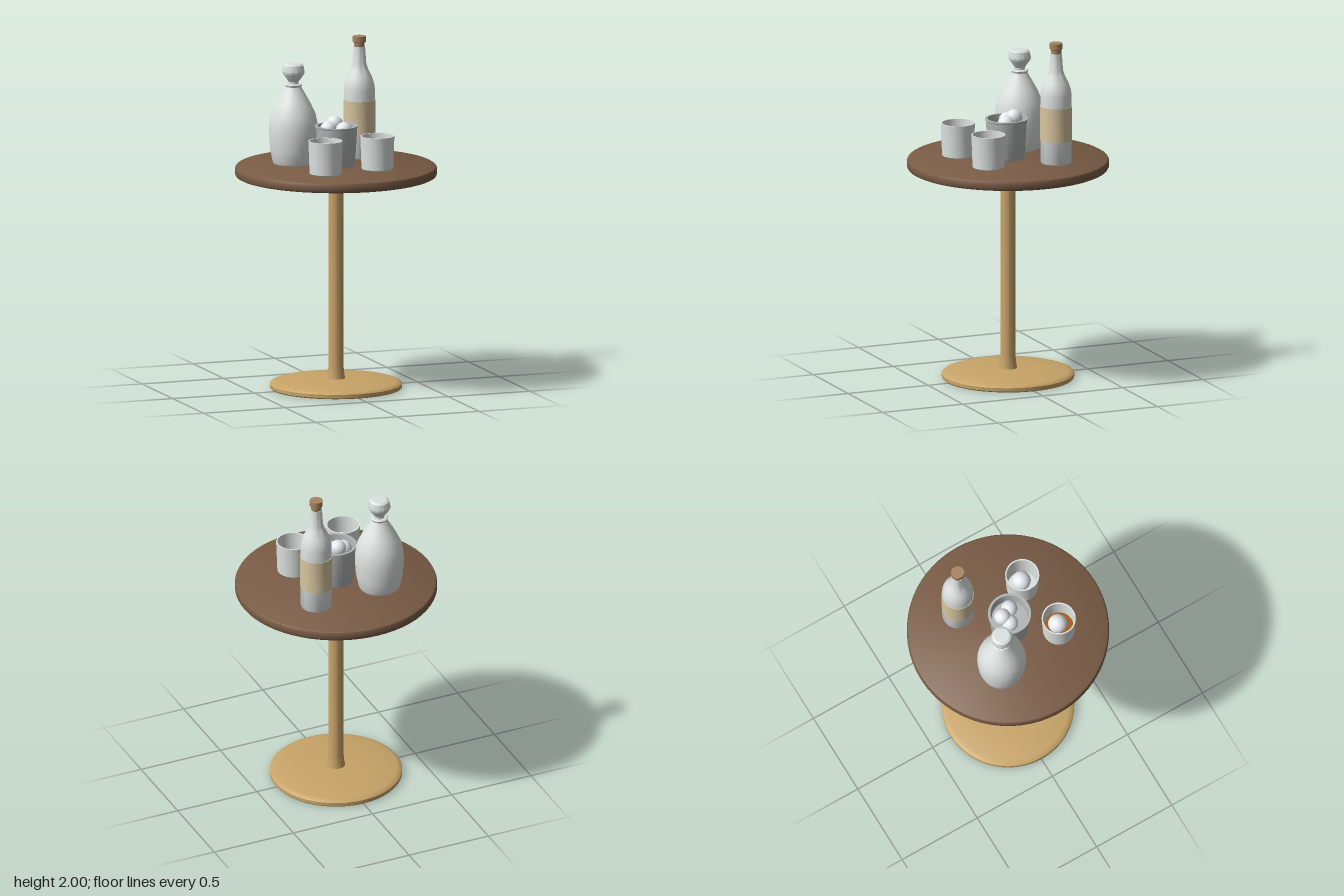
import * as THREE from 'three';
import { toCreasedNormals } from 'three/addons/utils/BufferGeometryUtils.js';

const TOP = 1.295; // height of the table surface

const mat = (color) => new THREE.MeshStandardMaterial({ color });
const wood = mat(0x7a5c45);
const brass = mat(0xc8a468);
const glass = mat(0xdde3e1);
const metal = mat(0xb2b7b6);
const ice = mat(0xe6eaee);
const paper = mat(0xd8c6a0);
const cork = mat(0xa88460);
const liquor = mat(0xa05a18);

export function createModel() {
  const model = new THREE.Group();

  const group = (name, x, y, z) => {
    const g = new THREE.Group();
    g.name = name;
    g.position.set(x, y, z);
    model.add(g);
    return g;
  };

  // Turned part from [radius, height] pairs, outside listed bottom to top
  const turned = (parent, name, profile, material, segments = 32) => {
    const points = profile.map(([r, y]) => new THREE.Vector2(r, y));
    const geometry = toCreasedNormals(new THREE.LatheGeometry(points, segments), 0.6);
    const mesh = new THREE.Mesh(geometry, material);
    mesh.name = name;
    parent.add(mesh);
  };

  const ball = (parent, r, x, y, z) => {
    const mesh = new THREE.Mesh(new THREE.SphereGeometry(r, 16, 12), ice);
    mesh.name = 'iceBall';
    mesh.position.set(x, y, z);
    parent.add(mesh);
  };

  // Table: round top, column and weighted foot
  const table = group('table', 0, 0, 0);
  turned(table, 'tableTop', [
    [0, 1.235], [0.565, 1.235], [0.574, 1.239], [0.58, 1.25],
    [0.58, 1.278], [0.575, 1.289], [0.565, TOP], [0, TOP],
  ], wood, 64);
  turned(table, 'pedestal', [
    [0, 0], [0.375, 0], [0.38, 0.006], [0.38, 0.026], [0.372, 0.034], [0.35, 0.041],
    [0.2, 0.05], [0.052, 0.056], [0.047, 0.09], [0.043, 0.13], [0.043, 1.236],
  ], brass, 48);

  // Decanter with a faceted stopper
  const decanter = group('decanter', -0.2, TOP, -0.16);
  turned(decanter, 'decanterBody', [
    [0, 0], [0.115, 0], [0.121, 0.012], [0.135, 0.085], [0.141, 0.17], [0.139, 0.225],
    [0.128, 0.285], [0.1, 0.345], [0.072, 0.395], [0.052, 0.43], [0.045, 0.445],
    [0.05, 0.457], [0.045, 0.462], [0, 0.462],
  ], glass);
  turned(decanter, 'decanterStopper', [
    [0, 0.455], [0.03, 0.455], [0.03, 0.475], [0.062, 0.52], [0.065, 0.535],
    [0.057, 0.57], [0.045, 0.578], [0, 0.578],
  ], glass, 12);

  // Tall bottle with paper label and cork
  const bottle = group('bottle', 0.22, TOP, -0.205);
  turned(bottle, 'bottleBody', [
    [0, 0], [0.084, 0], [0.089, 0.008], [0.089, 0.4], [0.084, 0.435], [0.07, 0.475],
    [0.05, 0.515], [0.04, 0.545], [0.033, 0.645], [0, 0.645],
  ], glass);
  turned(bottle, 'label', [
    [0.088, 0.135], [0.092, 0.135], [0.092, 0.335], [0.088, 0.335],
  ], paper);
  turned(bottle, 'cork', [
    [0, 0.64], [0.03, 0.64], [0.031, 0.668], [0.038, 0.672], [0.038, 0.705], [0, 0.705],
  ], cork, 20);

  // Ice bucket, open at the top
  const bucket = group('iceBucket', 0, TOP, 0.01);
  turned(bucket, 'bucketShell', [
    [0, 0], [0.102, 0], [0.106, 0.01], [0.118, 0.222], [0.124, 0.226], [0.124, 0.234],
    [0.11, 0.234], [0.103, 0.155], [0, 0.155],
  ], metal);
  ball(bucket, 0.048, -0.042, 0.21, -0.022);
  ball(bucket, 0.048, 0.005, 0.235, -0.045);
  ball(bucket, 0.048, 0.038, 0.207, 0.02);

  // Two tumblers, one of them holding a drink
  for (const [name, x, z, filled] of [
    ['filledTumbler', -0.157, 0.245, true],
    ['emptyTumbler', 0.178, 0.2, false],
  ]) {
    const tumbler = group(name, x, TOP, z);
    turned(tumbler, 'tumblerShell', [
      [0, 0], [0.086, 0], [0.091, 0.006], [0.098, 0.195], [0.09, 0.195], [0.084, 0.02], [0, 0.02],
    ], glass);
    if (filled) turned(tumbler, 'drink', [[0.086, 0.065], [0, 0.065]], liquor);
    ball(tumbler, 0.056, 0.012, filled ? 0.083 : 0.076, 0);
  }

  return model;
}
